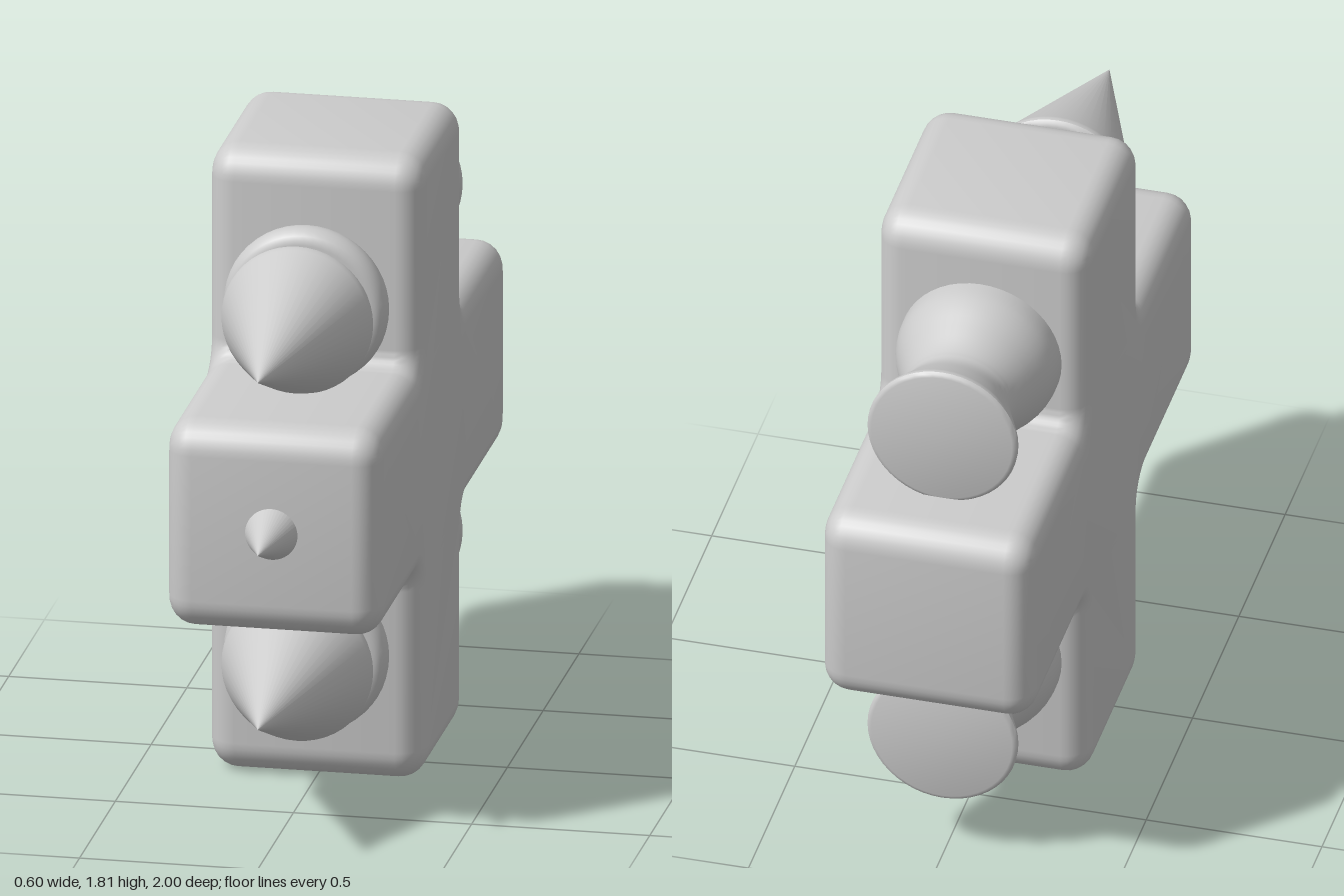
import * as THREE from 'three';
import { toCreasedNormals } from 'three/addons/utils/BufferGeometryUtils.js';

const material = new THREE.MeshStandardMaterial({ color: 0xcccccc });
const v = (x, y) => new THREE.Vector2(x, y);

function addMesh(parent, name, geometry) {
  const mesh = new THREE.Mesh(geometry, material);
  mesh.name = name;
  parent.add(mesh);
  return mesh;
}

// Closed outline with every corner rounded: [x, y, radius]
function roundedShape(corners) {
  const shape = new THREE.Shape();
  corners.forEach(([x, y, r], i) => {
    const p = v(x, y);
    const toward = ([qx, qy]) => p.clone().add(v(qx - x, qy - y).setLength(r));
    const a = toward(corners.at(i - 1));
    const b = toward(corners[(i + 1) % corners.length]);
    if (i === 0) shape.moveTo(a.x, a.y);
    else shape.lineTo(a.x, a.y);
    // Cubic approximation of a quarter circle
    const k = 0.5523;
    const c1 = a.clone().lerp(p, k), c2 = b.clone().lerp(p, k);
    shape.bezierCurveTo(c1.x, c1.y, c2.x, c2.y, b.x, b.y);
  });
  shape.closePath();
  return shape;
}

// Profile points are [radius, z], listed from back to front
function turned(profile) {
  const points = profile.map(([r, z]) => v(r, z));
  return toCreasedNormals(new THREE.LatheGeometry(points, 48).rotateX(Math.PI / 2), 0.7);
}

// Cross-shaped body, extruded across x with soft edges
function crossBody() {
  const o = 0.09, n = 0.05, bevel = 0.075, width = 0.6;
  const shape = roundedShape([
    [-0.39, 0, o], [0.21, 0, o], [0.21, 0.61, n], [0.81, 0.61, o],
    [0.81, 1.21, o], [0.21, 1.21, n], [0.21, 1.81, o], [-0.39, 1.81, o],
    [-0.39, 1.21, n], [-1, 1.21, o], [-1, 0.61, o], [-0.39, 0.61, n],
  ]);
  const depth = width - 2 * bevel;
  const geometry = new THREE.ExtrudeGeometry(shape, {
    depth, curveSegments: 8, bevelEnabled: true, bevelSegments: 6,
    bevelThickness: bevel, bevelSize: bevel, bevelOffset: -bevel,
  });
  geometry.translate(0, 0, -depth / 2).rotateY(-Math.PI / 2);
  return toCreasedNormals(geometry, 0.7);
}

export function createModel() {
  const model = new THREE.Group();
  model.name = 'crossShip';
  addMesh(model, 'crossBody', crossBody());

  // Pointed nose with a softened rim
  const nose = turned([
    [0, 0.43], [0.195, 0.43], [0.205, 0.433], [0.212, 0.441], [0.212, 0.452],
    [0.208, 0.463], [0, 1],
  ]);

  // Flat disc with a round rim
  const rim = [];
  for (let i = 0; i <= 10; i++) {
    const a = -Math.PI / 2 + (Math.PI * i) / 10;
    rim.push([0.19 + 0.041 * Math.cos(a), 0.317 + 0.049 * Math.sin(a)]);
  }
  const collar = turned([[0, 0.268], ...rim, [0, 0.366]]);

  // Flared exhaust with a waisted, smooth profile
  const flare = new THREE.SplineCurve([
    v(0.213, -0.79), v(0.186, -0.73), v(0.163, -0.675), v(0.158, -0.64),
    v(0.167, -0.6), v(0.192, -0.54), v(0.217, -0.48), v(0.229, -0.43), v(0.23, -0.36),
  ]).getPoints(32).map((p) => [p.x, p.y]);
  const exhaust = turned([
    [0, -0.81], [0.2, -0.81], [0.209, -0.807], [0.214, -0.8], ...flare,
    [0.23, -0.25], [0, -0.25],
  ]);

  // Three stacked engines; the middle one is mostly inside the body
  [['lower', 0.405], ['middle', 0.91], ['upper', 1.412]].forEach(([level, y]) => {
    const engine = new THREE.Group();
    engine.name = level + 'Engine';
    engine.position.y = y;
    addMesh(engine, 'noseCone', nose);
    addMesh(engine, 'collar', collar);
    addMesh(engine, 'exhaust', exhaust);
    model.add(engine);
  });
  return model;
}
